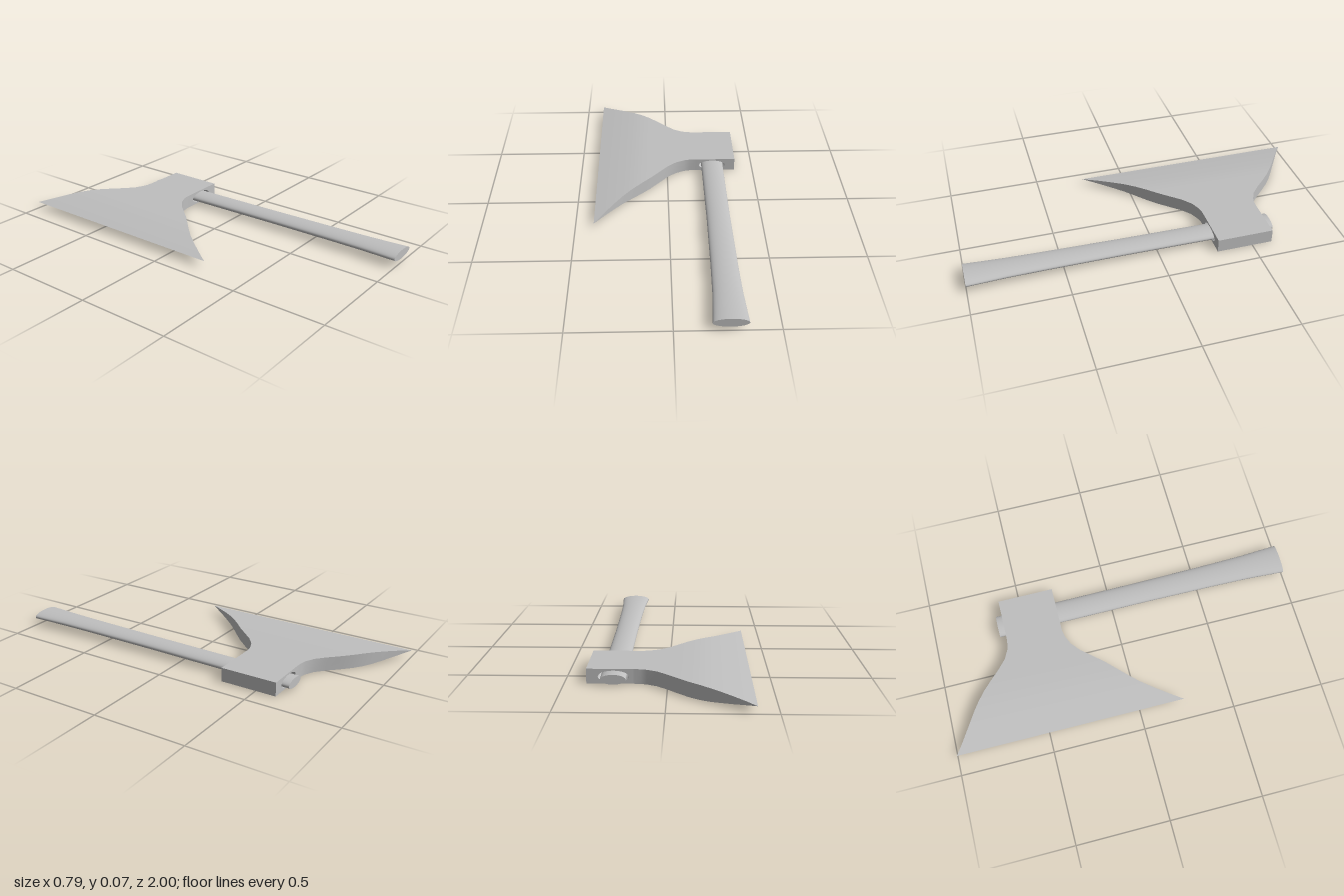
import * as THREE from 'three';

const MID = 0.039, HALF = 0.037;

// Linear interpolation in a table of [position, value] rows
function lookup(rows, x) {
  let i = 1;
  while (i < rows.length - 1 && x > rows[i][0]) i++;
  const [a, va] = rows[i - 1], [b, vb] = rows[i];
  return va + (vb - va) * (x - a) / (b - a);
}

// Ribbon between two equally long rows of points, smooth along its length
function ribbon(rowA, rowB) {
  const pos = [], index = [];
  rowA.forEach((p, i) => {
    pos.push(p.x, p.y, p.z, rowB[i].x, rowB[i].y, rowB[i].z);
    if (i) {
      const k = 2 * i - 2;
      index.push(k, k + 1, k + 2, k + 1, k + 3, k + 2);
    }
  });
  const g = new THREE.BufferGeometry();
  g.setAttribute('position', new THREE.Float32BufferAttribute(pos, 3));
  g.setIndex(index);
  g.computeVertexNormals();
  return g;
}

export function createModel() {
  const group = new THREE.Group();
  const grey = new THREE.MeshStandardMaterial({ color: 0xbfbfbf });
  grey.name = 'grey';
  const add = (name, geometry, parent = group) => {
    const mesh = new THREE.Mesh(geometry, grey);
    mesh.name = name;
    parent.add(mesh);
  };

  // Flared blade: x, back z, front z, half thickness
  const sections = [
    [-0.4, -1, 0.245, 0], [-0.35, -0.963, 0.17, 0.0095], [-0.3, -0.93, 0.1, 0.018],
    [-0.25, -0.897, 0.035, 0.0255], [-0.2, -0.865, -0.02, 0.032],
    [-0.15, -0.83, -0.07, 0.036], [-0.1, -0.79, -0.12, HALF],
    [-0.05, -0.742, -0.177, HALF], [0, -0.69, -0.235, HALF],
    [0.05, -0.645, -0.276, HALF], [0.1, -0.62, -0.298, HALF],
    [0.13, -0.613, -0.304, HALF], [0.165, -0.61, -0.305, HALF],
  ];
  const row = (k, s) => sections.map(p => new THREE.Vector3(p[0], MID + s * p[3], p[k]));
  const backTop = row(1, 1), backLow = row(1, -1), frontTop = row(2, 1), frontLow = row(2, -1);
  const blade = new THREE.Group();
  blade.name = 'blade';
  group.add(blade);
  add('bladeTop', ribbon(backTop, frontTop), blade);
  add('bladeUnderside', ribbon(frontLow, backLow), blade);
  add('bladeFrontEdge', ribbon(frontTop, frontLow), blade);
  add('bladeBackEdge', ribbon(backLow, backTop), blade);

  // Socket with an oval eye
  const block = new THREE.Shape([
    [0.165, MID - HALF], [0.393, MID - HALF], [0.393, MID + HALF], [0.165, MID + HALF],
  ].map(p => new THREE.Vector2(...p)));
  const eye = new THREE.Path();
  eye.absellipse(0.262, 0.037, 0.075, 0.03, 0, Math.PI * 2, true);
  block.holes.push(eye);
  const socket = new THREE.ExtrudeGeometry(block, { depth: 0.305, bevelEnabled: false, curveSegments: 32 });
  socket.translate(0, 0, -0.61);
  add('socket', socket);

  // Oval handle, widening towards the grip end
  const width = [[-0.645, 0.062], [0.2, 0.063], [0.4, 0.0655], [0.6, 0.068], [0.8, 0.073], [1, 0.085]];
  const handle = new THREE.CylinderGeometry(1, 1, 1, 48, 32);
  handle.rotateX(Math.PI / 2);
  const p = handle.attributes.position;
  for (let i = 0; i < p.count; i++) {
    const t = p.getZ(i) + 0.5, z = -0.645 + 1.645 * t;
    p.setXYZ(i, 0.262 + p.getX(i) * lookup(width, z), 0.033 + 0.017 * t + p.getY(i) * 0.0245, z);
  }
  handle.computeVertexNormals();
  add('handle', handle);

  return group;
}
